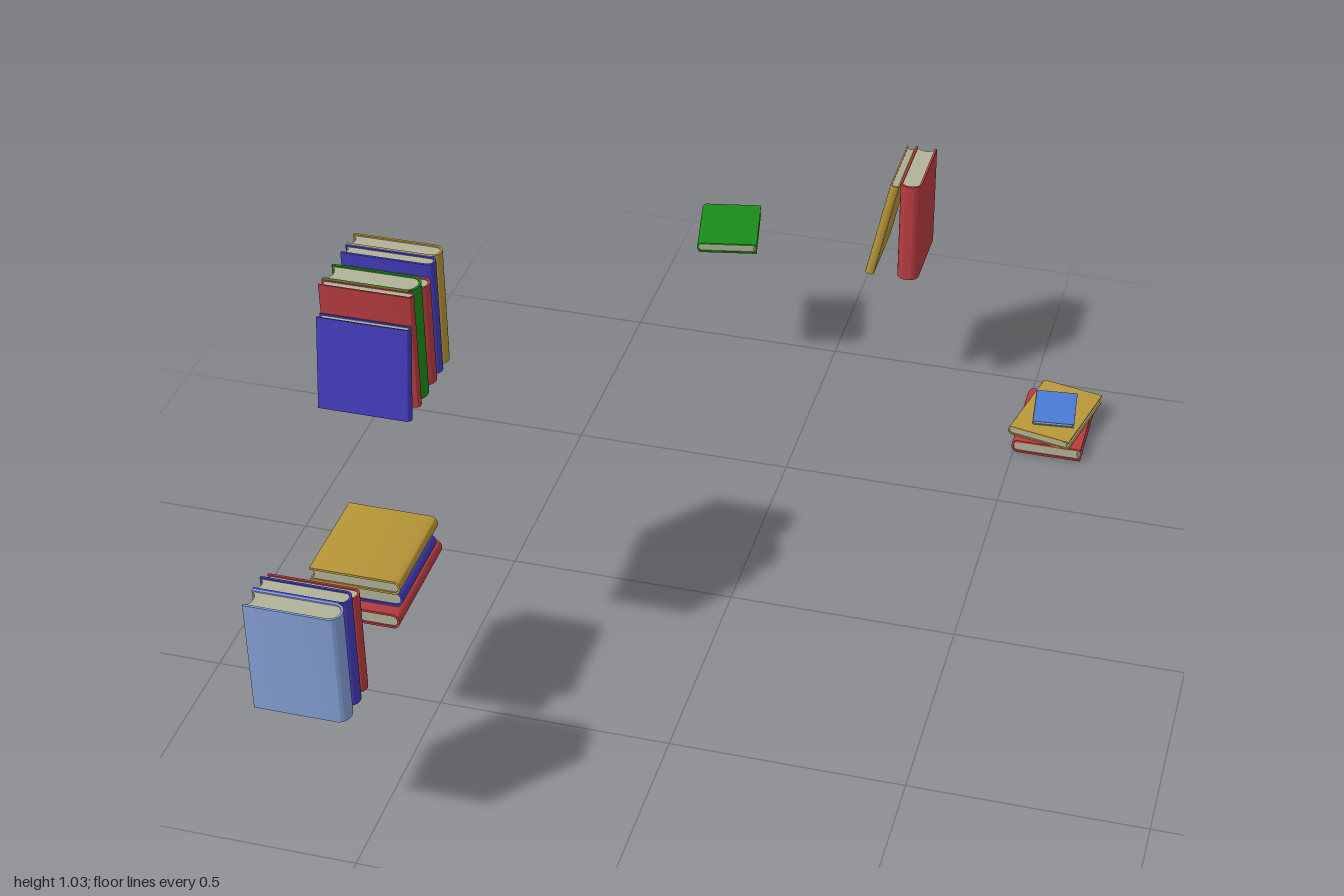
import * as THREE from 'three';
import { toCreasedNormals } from 'three/addons/utils/BufferGeometryUtils.js';

const RED = 0xb83c40, BLUE = 0x433cbb, GOLD = 0xb89738, GREEN = 0x1a8a1a;
const PALE = 0x87a2d8, SKY = 0x4a7ad4, PAPER = 0xb0b298;

function extrudeUp(shape, height, y0) {
  const geo = new THREE.ExtrudeGeometry(shape, { depth: height, bevelEnabled: false, curveSegments: 10 });
  geo.rotateX(-Math.PI / 2).translate(0, y0, 0);
  return toCreasedNormals(geo, 0.6);
}

// Upright book standing on y = 0: spine towards +x, thickness along z
function book(color, w, h, t) {
  const c = Math.min(0.005, t * 0.16), r = t * 0.42, inset = 0.003;
  const a = w / 2, b = t / 2, q = Math.PI / 2;

  // Wrap-around cover with a rounded spine
  const cover = new THREE.Shape();
  cover.moveTo(-a, -b);
  cover.lineTo(a - r, -b);
  cover.absellipse(a - r, 0, r, b, -q, q, false);
  cover.lineTo(-a, b);
  cover.lineTo(-a, b - c);
  cover.lineTo(a - r, b - c);
  cover.absellipse(a - r, 0, r - c, b - c, q, -q, true);
  cover.lineTo(-a, c - b);
  cover.closePath();

  // Page block with a hollowed fore edge
  const pages = new THREE.Shape();
  pages.moveTo(-a + inset, c - b);
  pages.lineTo(a - r, c - b);
  pages.absellipse(a - r, 0, r - c, b - c, -q, q, false);
  pages.lineTo(-a + inset, b - c);
  pages.quadraticCurveTo(-a + inset + t * 0.35, 0, -a + inset, c - b);

  const group = new THREE.Group();
  const add = (name, geo, col) => {
    const mesh = new THREE.Mesh(geo, new THREE.MeshStandardMaterial({ color: col }));
    mesh.name = name;
    group.add(mesh);
  };
  add('cover', extrudeUp(cover, h, 0), color);
  add('pages', extrudeUp(pages, h - 2 * inset, inset), PAPER);
  return group;
}

export function createModel() {
  const model = new THREE.Group();
  model.name = 'books';

  const cluster = (name) => {
    const g = new THREE.Group();
    g.name = name;
    model.add(g);
    return g;
  };
  // Standing book, optionally turned about y and then tilted
  const stand = (parent, name, color, [w, h, t], [x, y, z], turn = 0, tiltX = 0, tiltZ = 0) => {
    const b = book(color, w, h, t);
    b.name = name;
    b.position.set(x, y, z);
    b.rotation.set(tiltX, turn, tiltZ, 'ZYX');
    parent.add(b);
  };
  // Book lying flat, its underside at y
  const lay = (parent, name, color, [w, h, t], [x, y, z], turn = 0) => {
    const b = book(color, w, h, t);
    b.rotation.x = -Math.PI / 2;
    b.position.set(0, t / 2, h / 2);
    const holder = new THREE.Group();
    holder.name = name;
    holder.add(b);
    holder.position.set(x, y, z);
    holder.rotation.y = turn;
    parent.add(holder);
  };

  // Upper row: [color, z start, z end, height]
  const upper = cluster('upperRow');
  [[GOLD, 0.328, 0.37, 0.255], [BLUE, 0.37, 0.403, 0.255], [RED, 0.403, 0.445, 0.227],
    [GREEN, 0.445, 0.5, 0.255], [RED, 0.5, 0.522, 0.255]].forEach(([col, z0, z1, h]) =>
    stand(upper, 'uprightBook', col, [0.19, h, z1 - z0], [-0.585, 0.775, (z0 + z1) / 2]));
  stand(upper, 'leaningBook', BLUE, [0.19, 0.195, 0.021], [-0.585, 0.776, 0.565], 0, -0.155);

  // Lower row
  const lower = cluster('lowerRow');
  [[PALE, 0.948, 1, 0.25], [BLUE, 0.908, 0.948, 0.25], [RED, 0.873, 0.908, 0.23]].forEach(([col, z0, z1, h]) =>
    stand(lower, 'uprightBook', col, [0.19, h, z1 - z0], [-0.585, 0.365, (z0 + z1) / 2]));

  // Flat pile beside the lower row
  const pile = cluster('flatPile');
  lay(pile, 'bottomBook', RED, [0.19, 0.252, 0.035], [-0.585, 0.365, 0.581]);
  lay(pile, 'middleBook', BLUE, [0.19, 0.197, 0.038], [-0.585, 0.4, 0.583]);
  lay(pile, 'topBook', GOLD, [0.19, 0.222, 0.032], [-0.585, 0.438, 0.58]);

  // Back pair, one leaning on the other
  const pair = cluster('leaningPair');
  stand(pair, 'uprightBook', RED, [0.187, 0.25, 0.05], [0.208, 0.365, -0.897], -Math.PI / 2);
  stand(pair, 'leaningBook', GOLD, [0.187, 0.25, 0.021], [0.119, 0.367, -0.897], -Math.PI / 2, 0, -0.215);

  // Single flat book
  lay(model, 'singleBook', GREEN, [0.141, 0.179, 0.025], [-0.243, 0.365, -0.898], Math.PI + 0.195);

  // Low pile with a small notebook on top
  const low = cluster('lowPile');
  lay(low, 'bottomBook', RED, [0.163, 0.222, 0.033], [0.577, 0, -0.809], Math.PI);
  lay(low, 'middleBook', GOLD, [0.152, 0.215, 0.022], [0.578, 0.033, -0.811], Math.PI - 0.21);
  lay(low, 'notebook', SKY, [0.097, 0.13, 0.009], [0.577, 0.055, -0.811], Math.PI + 0.1);
  return model;
}
